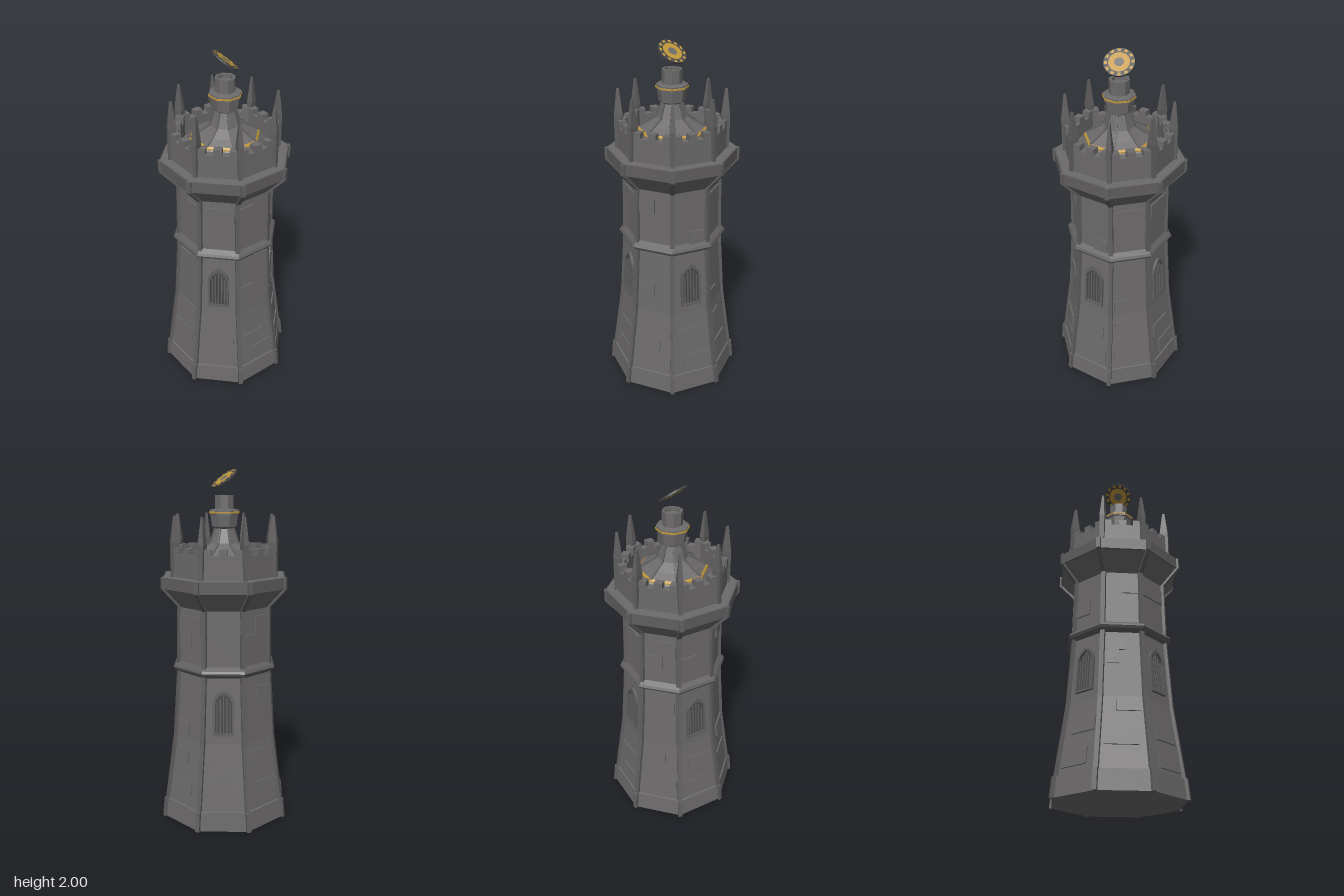
import * as THREE from 'three';

const STEP = Math.PI / 4, COS = Math.cos(STEP / 2);

function makeMaterial(name, color) {
  const m = new THREE.MeshStandardMaterial({ color });
  m.name = name;
  return m;
}

// Gives every facet its own normal
function flat(geo) {
  const g = geo.index ? geo.toNonIndexed() : geo;
  g.computeVertexNormals();
  return g;
}

export function createModel() {
  const root = new THREE.Group();
  root.name = 'tower';
  const stone = makeMaterial('stone', 0x6c6a6a);
  const trim = makeMaterial('trimStone', 0x605e5e);
  const dark = makeMaterial('darkMetal', 0x484747);
  const gold = makeMaterial('gold', 0xc0963a);

  const add = (name, geo, mat, parent = root) => {
    const m = new THREE.Mesh(flat(geo), mat);
    m.name = name;
    parent.add(m);
    return m;
  };
  // Eight-sided solid with corners on the axes; points are [cornerRadius, y]
  const octagon = (name, pts, mat) =>
    add(name, new THREE.LatheGeometry(pts.map(p => new THREE.Vector2(...p)), 8), mat);

  // Thin fin following a profile on all eight corners
  function cornerRibs(name, pts, out, width, mat) {
    const outer = pts.map(([r, y]) => new THREE.Vector2(r + out, y));
    const inner = pts.map(([r, y]) => new THREE.Vector2(r - 0.02, y)).reverse();
    const geo = new THREE.ExtrudeGeometry(new THREE.Shape([...outer, ...inner]), { depth: width, bevelEnabled: false });
    geo.translate(0, 0, -width / 2);
    for (let k = 0; k < 8; k++) add(name, geo, mat).rotation.y = k * STEP;
  }

  // Main walls, flared gallery and parapet
  const wall = [[0.375, 0], [0.364, 0.11], [0.355, 0.112], [0.3, 0.5], [0.275, 0.88], [0.268, 1.25], [0.363, 1.355], [0.363, 1.42]];
  octagon('walls', [[0, 0], ...wall, [0.307, 1.421], [0.307, 1.55], [0.26, 1.55], [0.26, 1.46], [0, 1.46]], stone);
  cornerRibs('cornerRib', wall, 0.012, 0.025, trim);
  cornerRibs('parapetRib', [[0.307, 1.42], [0.307, 1.58]], 0.01, 0.022, trim);
  octagon('galleryBand', [[0.36, 1.352], [0.368, 1.356], [0.368, 1.42], [0.36, 1.423]], trim);
  octagon('middleBand', [[0.265, 0.87], [0.302, 0.893], [0.31, 0.907], [0.302, 0.921], [0.265, 0.945]], trim);

  // Puts an object on face k, tilted to the slope of the wall
  const apothem = y => {
    let i = 1;
    while (i < wall.length - 1 && wall[i][1] < y) i++;
    const [a, b] = [wall[i - 1], wall[i]];
    return COS * (a[0] + (b[0] - a[0]) * (y - a[1]) / (b[1] - a[1]));
  };
  function facePivot(k) {
    const g = new THREE.Group();
    g.rotation.y = (k + 0.5) * STEP;
    root.add(g);
    return g;
  }
  function seat(obj, u, y) {
    obj.position.set(u, y, apothem(y));
    obj.rotation.x = -Math.atan((apothem(y - 0.01) - apothem(y + 0.01)) / 0.02);
  }

  // Raised blocks per face: [across, y, width, height]
  const blocks = [
    [[-0.045, 1.165, 0.09, 0.09], [0.05, 0.825, 0.09, 0.09], [0.075, 0.735, 0.045, 0.09], [-0.045, 0.64, 0.09, 0.08], [-0.03, 0.285, 0.16, 0.09], [0.045, 0.18, 0.15, 0.09]],
    [[0.04, 0.97, 0.085, 0.08], [-0.01, 0.36, 0.17, 0.08], [0.02, 0.18, 0.17, 0.1]],
    [[-0.01, 1.16, 0.17, 0.1], [-0.045, 1.065, 0.09, 0.09], [-0.045, 0.555, 0.09, 0.09], [-0.04, 0.4, 0.1, 0.09], [-0.02, 0.22, 0.16, 0.08]],
    [[0.01, 1.165, 0.17, 0.09], [-0.01, 0.32, 0.16, 0.08], [0.03, 0.18, 0.16, 0.09]],
    [[0.04, 1.165, 0.09, 0.1], [-0.04, 1.07, 0.1, 0.09], [0.04, 0.77, 0.09, 0.09], [-0.03, 0.4, 0.13, 0.09], [0.03, 0.22, 0.16, 0.09]],
    [[-0.04, 1.06, 0.1, 0.09], [0.02, 0.36, 0.16, 0.08], [-0.02, 0.19, 0.17, 0.09]],
    [[0.045, 1.165, 0.09, 0.09], [-0.03, 0.81, 0.1, 0.08], [-0.05, 0.73, 0.06, 0.08], [0.03, 0.46, 0.13, 0.08], [-0.01, 0.28, 0.18, 0.09]],
    [[0, 1.165, 0.17, 0.09], [0.015, 0.32, 0.16, 0.08], [0.02, 0.18, 0.17, 0.1]],
  ];

  // Pointed window outline, w = half width
  const arch = (C, w, y0, ySpring, yTop) => {
    const s = new C();
    s.moveTo(-w, y0);
    s.lineTo(w, y0);
    s.lineTo(w, ySpring);
    s.quadraticCurveTo(w * 0.85, (ySpring + yTop) / 2 + 0.01, 0, yTop);
    s.quadraticCurveTo(-w * 0.85, (ySpring + yTop) / 2 + 0.01, -w, ySpring);
    s.closePath();
    return s;
  };
  const frameShape = arch(THREE.Shape, 0.06, -0.13, 0.06, 0.13);
  frameShape.holes.push(arch(THREE.Path, 0.048, -0.118, 0.055, 0.112));
  const frameGeo = new THREE.ExtrudeGeometry(frameShape, { depth: 0.014, bevelEnabled: false, curveSegments: 4 });
  const paneGeo = new THREE.ShapeGeometry(arch(THREE.Shape, 0.05, -0.12, 0.055, 0.115), 4);

  for (let k = 0; k < 8; k++) {
    const face = facePivot(k);
    face.name = 'wallFace';
    for (const [u, y, w, h] of blocks[k])
      seat(add('raisedBlock', new THREE.BoxGeometry(w, h, 0.016), stone, face), u, y);

    // Arched, barred windows on every second face
    if (k % 2) {
      const win = new THREE.Group();
      win.name = 'window';
      face.add(win);
      seat(win, 0, 0.68);
      add('windowFrame', frameGeo, trim, win);
      add('windowPane', paneGeo, dark, win).position.z = 0.002;
      for (let i = -2; i <= 2; i++) {
        const h = 0.225 - Math.abs(i) * 0.025;
        add('windowBar', new THREE.BoxGeometry(0.007, h, 0.009), trim, win).position.set(i * 0.018, -0.118 + h / 2, 0.004);
      }
    }

    // Merlons along the parapet
    for (const u of [-0.085, 0, 0.085])
      add('merlon', new THREE.BoxGeometry(0.045, 0.04, 0.043), stone, face).position.set(u, 1.563, 0.262);

    // Corner pinnacle
    const post = new THREE.Group();
    post.name = 'pinnacle';
    post.rotation.y = k * STEP;
    root.add(post);
    const part = (top, bottom, y0, y1) => {
      const g = new THREE.CylinderGeometry(top * Math.SQRT1_2, bottom * Math.SQRT1_2, y1 - y0, 4);
      g.rotateY(STEP);
      g.scale(0.65, 1, 1);
      add('pinnaclePart', g, trim, post).position.set(0, (y0 + y1) / 2, 0.292);
    };
    part(0.048, 0.042, 1.46, 1.61);
    part(0.014, 0.048, 1.61, 1.755);
  }

  // Stepped roof inside the parapet
  const roof = [[0.185, 1.54], [0.14, 1.565], [0.085, 1.6], [0.054, 1.69]];
  octagon('roofBase', [[0.238, 1.46], [0.232, 1.49], [0.196, 1.525]], stone);
  octagon('roofGoldBand', [[0.196, 1.522], [0.196, 1.532], [0.185, 1.541]], gold);
  octagon('roof', roof, stone);
  cornerRibs('roofRib', roof.slice(0, 3), 0.007, 0.012, trim);
  cornerRibs('neckRib', roof.slice(2), 0.005, 0.01, trim);

  // Lantern cup, gold band and hollow pole
  octagon('cup', [[0.05, 1.675], [0.074, 1.69], [0.082, 1.755], [0.089, 1.757], [0.089, 1.78], [0.055, 1.787]], stone);
  octagon('cupGoldBand', [[0.086, 1.762], [0.092, 1.764], [0.092, 1.772], [0.086, 1.774]], gold);
  octagon('pole', [[0.056, 1.78], [0.056, 1.862], [0.042, 1.862], [0.042, 1.84], [0, 1.84]], stone);

  // Tilted floating disc with gold inlays on both faces
  const disc = new THREE.Group();
  disc.name = 'floatingDisc';
  disc.position.set(0, 1.95, 0);
  disc.rotation.z = -0.65;
  root.add(disc);
  add('discBody', new THREE.CylinderGeometry(0.082, 0.082, 0.01, 24), dark, disc);
  add('discHub', new THREE.CylinderGeometry(0.026, 0.026, 0.013, 16), stone, disc);
  for (const side of [1, -1]) {
    const half = new THREE.Group();
    half.name = 'discFace';
    half.rotation.x = -side * Math.PI / 2;
    half.position.y = side * 0.0065;
    disc.add(half);
    add('goldRing', new THREE.RingGeometry(0.024, 0.056, 24), gold, half);
    for (let i = 0; i < 12; i++)
      add('goldInlay', new THREE.RingGeometry(0.063, 0.078, 2, 1, i * Math.PI / 6, 0.25), gold, half);
  }
  return root;
}
